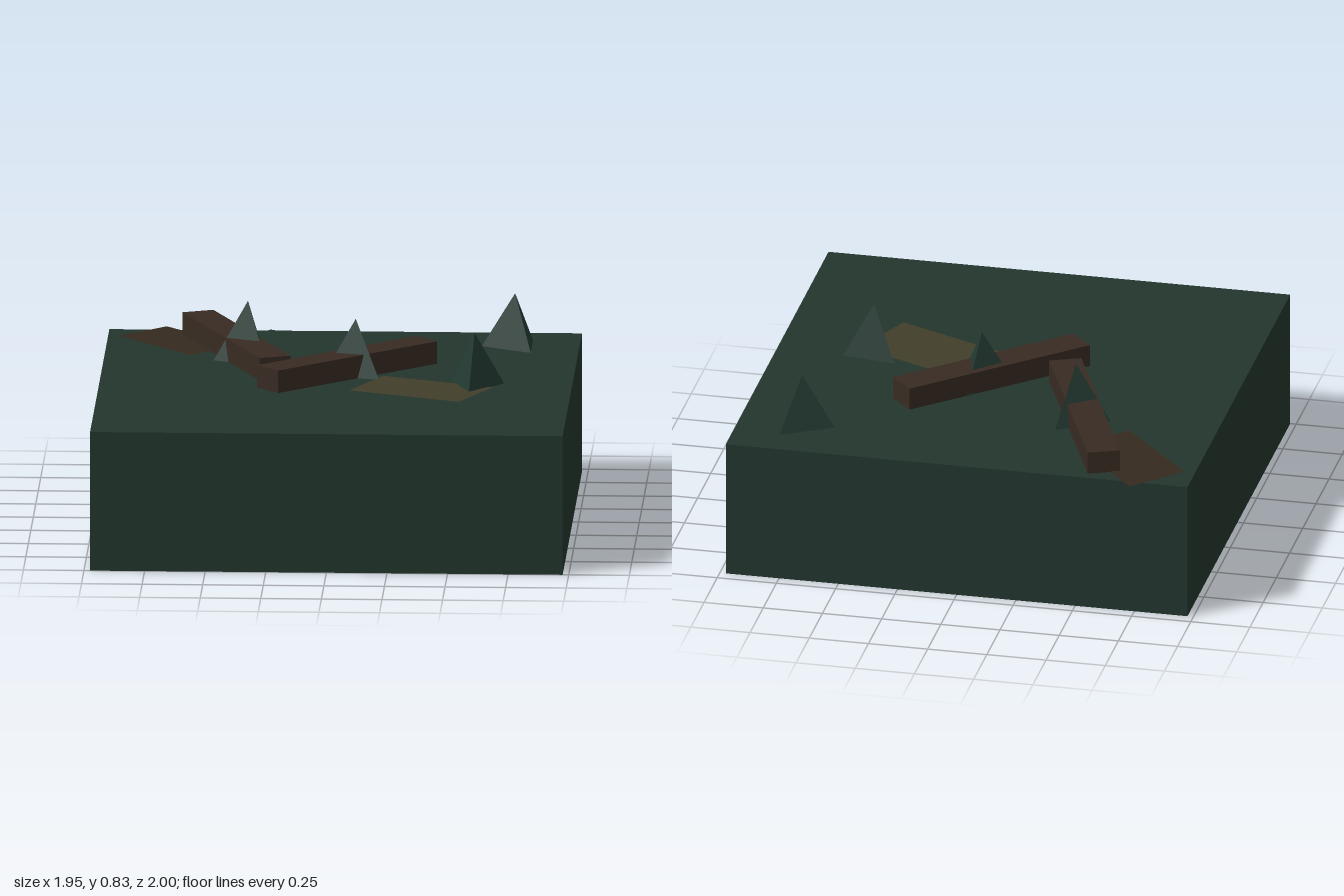
import * as THREE from 'three';

const TOP = 0.585;

export function createModel() {
  const group = new THREE.Group();
  const mat = (name, color, side = THREE.FrontSide) => {
    const m = new THREE.MeshStandardMaterial({ color, side });
    m.name = name;
    return m;
  };
  const ground = mat('mossGreen', 0x22352d, THREE.DoubleSide);
  const leaf = mat('pineGreen', 0x243a33);
  const wood = mat('darkWood', 0x382b22);
  const dirt = mat('brownEarth', 0x35291f, THREE.DoubleSide);
  const sand = mat('oliveSand', 0x423e2b, THREE.DoubleSide);

  const add = (name, geometry, material, x, y, z, turn = 0) => {
    const mesh = new THREE.Mesh(geometry, material);
    mesh.name = name;
    mesh.position.set(x, y, z);
    mesh.rotation.y = turn;
    group.add(mesh);
    return mesh;
  };

  // Ground block: hollow shell without its underside
  const shell = new THREE.BoxGeometry(1.95, TOP, 1.95);
  const index = Array.from(shell.index.array);
  index.splice(18, 6);
  shell.setIndex(index);
  shell.clearGroups();
  add('groundBlock', shell, ground, 0, TOP / 2, 0.025);

  // Two fallen planks: centre, length and direction in x, z
  const planks = [
    [-0.43, -0.455, 0.925, 0.355, 0.86],
    [0.04, -0.11, 0.86, 0.63, -0.58],
  ];
  planks.forEach(([x, z, length, dx, dz], i) =>
    add(`plank${i + 1}`, new THREE.BoxGeometry(length, 0.095, 0.135), wood,
      x, TOP + 0.0475, z, Math.atan2(-dz, dx)));

  // Three-sided spikes: x, z, radius, height, direction of one corner in degrees
  const spikes = [
    [0.573, 0.06, 0.13, 0.225, 98],
    [0.71, -0.69, 0.138, 0.225, 180],
    [0.075, -0.135, 0.14, 0.235, -75.5],
    [-0.38, -0.39, 0.142, 0.25, -65],
  ];
  spikes.forEach(([x, z, r, h, corner], i) =>
    add(`spike${i + 1}`, new THREE.ConeGeometry(r, h, 3).toNonIndexed(), leaf,
      x, TOP + h / 2, z, THREE.MathUtils.degToRad(90 - corner))
      .geometry.computeVertexNormals());

  // Flat ground patches: corners as x, z
  const patch = (name, material, lift, corners) => {
    const shape = new THREE.Shape(corners.map(([x, z]) => new THREE.Vector2(x, -z)));
    const geometry = new THREE.ShapeGeometry(shape).rotateX(-Math.PI / 2);
    add(name, geometry, material, 0, TOP + lift, 0);
  };
  patch('earthPatch', dirt, 0.003, [[-0.74, -1], [-0.93, -0.81], [-0.62, -0.46], [-0.43, -0.65]]);
  patch('sandPatch', sand, 0.003, [[0.19, -0.1], [0.06, 0.18], [0.52, 0.38], [0.65, 0.1]]);
  patch('mossPatch1', ground, 0.002, [[0.12, 0.54], [0.18, 0.8], [0.57, 0.67], [0.51, 0.41]]);
  patch('mossPatch2', ground, 0.002, [[-0.94, 0.4], [-0.7, 0.68], [-0.53, 0.46], [-0.77, 0.18]]);
  patch('mossPatch3', ground, 0.002, [[-0.31, -0.96], [-0.43, -0.75], [-0.09, -0.52], [0.05, -0.73]]);

  return group;
}
